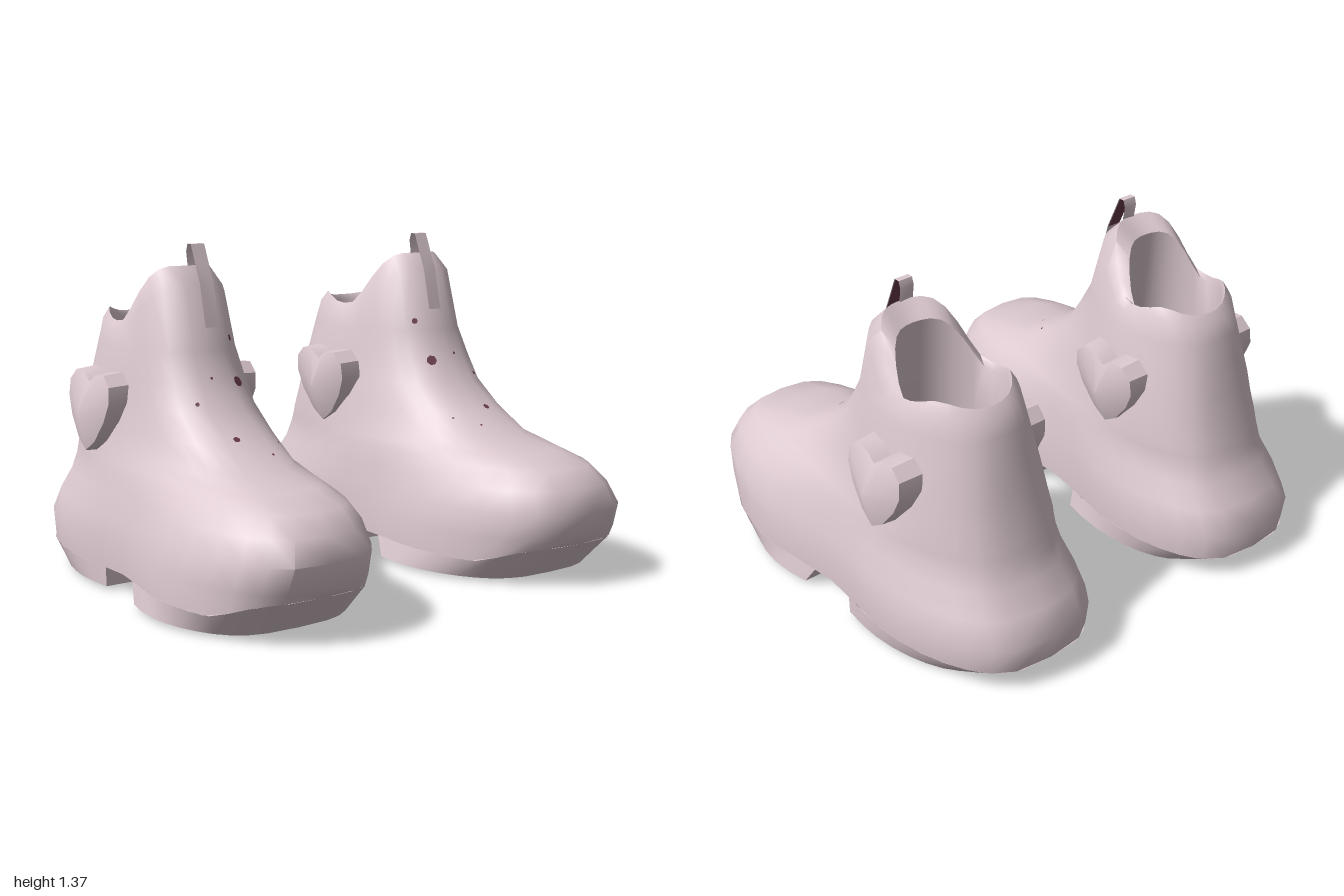
import * as THREE from 'three';
import { toCreasedNormals } from 'three/addons/utils/BufferGeometryUtils.js';

const SEG = 32;
const lerp = THREE.MathUtils.lerp;
const step = THREE.MathUtils.smoothstep;

// Skin equal-length closed loops of [x, y, z]; a cap is a centre point or null
function loft(loops, startCap, endCap) {
  const n = loops[0].length, pos = loops.flat(2), idx = [];
  for (let i = 0; i < loops.length - 1; i++) {
    for (let j = 0; j < n; j++) {
      const k = (j + 1) % n, a = i * n + j, b = i * n + k;
      idx.push(a, b, b + n, a, b + n, a + n);
    }
  }
  const cap = (point, base, flip) => {
    const c = pos.length / 3;
    pos.push(...point);
    for (let j = 0; j < n; j++) {
      const a = base + j, b = base + (j + 1) % n;
      idx.push(c, flip ? b : a, flip ? a : b);
    }
  };
  cap(startCap, 0, true);
  if (endCap) cap(endCap, (loops.length - 1) * n, false);
  const geo = new THREE.BufferGeometry();
  geo.setAttribute('position', new THREE.Float32BufferAttribute(pos, 3));
  geo.setIndex(idx);
  return geo;
}

// Centre and half width of a horizontal slice; s runs from -1 (heel) to 1 (toe)
function slice([, , , hwF, hwB, p, waist, cxF], s) {
  const round = Math.pow(Math.max(0, 1 - s * s), p / 2);
  const pinch = 1 - waist * Math.exp(-((s / 0.35) ** 2));
  return [lerp(0.55, cxF, (s + 1) / 2), lerp(hwB, hwF, step(s, -0.6, 0.6)) * round * pinch];
}

const flat = () => 0;

function ring(level, rise = flat) {
  const [y, zf, zb] = level;
  return Array.from({ length: SEG }, (_, j) => {
    const t = (j / SEG) * Math.PI * 2, s = Math.cos(t);
    const [cx, hw] = slice(level, s);
    return [cx + hw * Math.sign(Math.sin(t)), y + rise(s), (zf + zb) / 2 + s * (zf - zb) / 2];
  });
}

// Slice rows: y, front z, back z, toe half width, heel half width, roundness, waist, toe centre
const PLAN = [0.1, 0.89, -0.93, 0.432, 0.425, 0.62, 0.18, 0.64];
// The lower edge lifts towards the toe tip
const toeSpring = (s) => 0.07 * step(s, 0.7, 1);

function makeUpper() {
  const levels = [
    [0.21, 0.915, -0.945, 0.43, 0.43, 0.62, 0.18, 0.64],
    [0.31, 0.95, -0.89, 0.408, 0.41, 0.62, 0.17, 0.64],
    [0.40, 0.91, -0.82, 0.365, 0.38, 0.62, 0.13, 0.63],
    [0.47, 0.84, -0.79, 0.31, 0.36, 0.62, 0.07, 0.62],
    [0.51, 0.68, -0.777, 0.285, 0.35, 0.63, 0.04, 0.61],
    [0.55, 0.50, -0.765, 0.275, 0.34, 0.65, 0.02, 0.60],
    [0.64, 0.34, -0.735, 0.265, 0.32, 0.68, 0, 0.59],
    [0.74, 0.20, -0.71, 0.26, 0.30, 0.72, 0, 0.59],
    [0.85, 0.13, -0.68, 0.25, 0.275, 0.76, 0, 0.59],
    [0.96, 0.07, -0.65, 0.238, 0.252, 0.8, 0, 0.59],
  ];
  const top = (s) => 0.04 * Math.exp(-(((s + 0.6) / 0.3) ** 2)) + 0.23 * step(s, 0.1, 0.95);
  const loops = [ring(PLAN, toeSpring), ...levels.map((l) => ring(l))];
  // Collar, rolled rim and the hollow inside
  loops.push(
    ring([1.02, 0, -0.625, 0.225, 0.23, 0.85, 0, 0.59], (s) => top(s) * 0.85),
    ring([1.055, -0.07, -0.59, 0.205, 0.208, 0.95, 0, 0.59], top),
    ring([1.03, -0.15, -0.575, 0.19, 0.195, 1.05, 0, 0.59], (s) => top(s) * 0.85),
    ring([0.8, -0.1, -0.6, 0.2, 0.2, 0.95, 0, 0.59]),
    ring([0.6, -0.05, -0.62, 0.21, 0.21, 0.9, 0, 0.59]),
  );
  return loft(loops, [0.6, 0.06, -0.02], [0.57, 0.6, -0.33]);
}

// Sole pad between two z limits, following the plan of the upper
function makePad(rows, ease) {
  const n = 10;
  const loops = rows.map(([level, z0, z1, rise]) => {
    const [y, zf, zb] = level, half = [[], []];
    for (let k = 0; k <= n; k++) {
      const z = lerp(z0, z1, ease(k / n)), s = (2 * z - zf - zb) / (zf - zb);
      const [cx, hw] = slice(level, s);
      half[0].push([cx + hw, y + rise(s), z]);
      half[1].unshift([cx - hw, y + rise(s), z]);
    }
    return half.flat();
  });
  const [low, z0, z1] = rows[0];
  return loft(loops, [0.6, low[0] - 0.015, (z0 + z1) / 2], null);
}

// Domed heart badge, dir 1 for the outer side and -1 for the inner side
function makeHeart(dir, base, rim, apex) {
  const half = [[0, -0.165], [0.07, -0.12], [0.14, -0.03], [0.175, 0.05], [0.17, 0.12], [0.12, 0.165], [0.05, 0.16], [0, 0.125]];
  const outline = [...half, ...half.slice(1, -1).reverse().map(([z, y]) => [-z, y])];
  const loop = (x, size) => outline.map(([z, y]) => [x - 0.08 * y, 0.7 + y * size, -0.325 - dir * z * size]);
  return loft([loop(base, 1), loop(rim, 0.95)], [base, 0.7, -0.325], [apex, 0.7, -0.325]);
}

// Ribbon swept across x along a path of [z, y]
function makeRibbon(path) {
  const geo = new THREE.PlaneGeometry(0.062, 1, 1, path.length - 1);
  const pos = geo.attributes.position;
  for (let i = 0; i < pos.count; i++) {
    const [z, y] = path[Math.floor(i / 2)];
    pos.setXYZ(i, 0.565 + pos.getX(i), y, z);
  }
  return geo;
}

// Small spots lying on the instep: x, y, radius
function makeSpots(upper) {
  const target = new THREE.Mesh(upper);
  const list = [[0.495, 0.837, 0.023], [0.475, 1.0, 0.013], [0.63, 0.65, 0.014], [0.615, 0.86, 0.006], [0.7, 0.77, 0.009], [0.445, 0.62, 0.006], [0.525, 0.595, 0.006]];
  return list.map(([x, y, r]) => {
    const ray = new THREE.Raycaster(new THREE.Vector3(x, y, 3), new THREE.Vector3(0, 0, -1));
    const { point, face } = ray.intersectObject(target)[0];
    const holder = new THREE.Object3D();
    holder.position.copy(point).addScaledVector(face.normal, 0.004);
    holder.lookAt(holder.position.clone().add(face.normal));
    holder.updateMatrix();
    return new THREE.CircleGeometry(r, 7).applyMatrix4(holder.matrix);
  });
}

// Copy to the other side of x = 0, with the corner order swapped to keep faces outward
function mirrored(geo) {
  const g = geo.clone().scale(-1, 1, 1), a = g.index.array;
  for (let i = 0; i < a.length; i += 3) [a[i], a[i + 1]] = [a[i + 1], a[i]];
  return g;
}

export function createModel() {
  const pink = new THREE.MeshStandardMaterial({ color: 0xdcc9d0, side: THREE.DoubleSide });
  pink.name = 'pale pink';
  const plum = new THREE.MeshStandardMaterial({ color: 0x6a3a4c });
  plum.name = 'dark plum';

  const upper = makeUpper();
  const toeLow = [0.02, 0.73, -0.85, 0.445, 0.4, 0.6, 0.18, 0.63];
  const heelLow = [0.02, 0.8, -0.77, 0.42, 0.415, 0.5, 0.16, 0.63];
  const tabPath = [[-0.07, 1.25], [-0.085, 1.34], [-0.075, 1.37], [-0.05, 1.37], [-0.02, 1.3], [0.015, 1.22], [0.055, 1.05]];
  // Name, geometry, material, crease angle
  const parts = [
    ['upper', upper, pink, 0.9],
    ['toeSole', makePad([[toeLow, 0.73, 0.13, flat], [PLAN, 0.89, 0.08, toeSpring]], (t) => 1 - Math.cos(t * Math.PI / 2)), pink, 0.6],
    ['heelSole', makePad([[heelLow, -0.15, -0.77, flat], [PLAN, -0.15, -0.93, flat]], (t) => Math.sin(t * Math.PI / 2)), pink, 0.6],
    ['outerHeart', makeHeart(1, 0.82, 0.92, 0.968), pink, 0.7],
    ['innerHeart', makeHeart(-1, 0.32, 0.23, 0.178), pink, 0.7],
    ['pullTab', makeRibbon(tabPath), pink, 0.9],
    ['pullTabLining', makeRibbon([[0.01, 1.22], [-0.025, 1.3], [-0.053, 1.365]]), plum, 0.9],
    ...makeSpots(upper).map((g) => ['spot', g, plum, 0.5]),
  ];

  const model = new THREE.Group();
  model.name = 'bootPair';
  for (const side of [1, -1]) {
    const boot = new THREE.Group();
    boot.name = side > 0 ? 'leftBoot' : 'rightBoot';
    for (const [name, geo, material, crease] of parts) {
      const mesh = new THREE.Mesh(toCreasedNormals(side > 0 ? geo : mirrored(geo), crease), material);
      mesh.name = name;
      boot.add(mesh);
    }
    model.add(boot);
  }
  return model;
}
